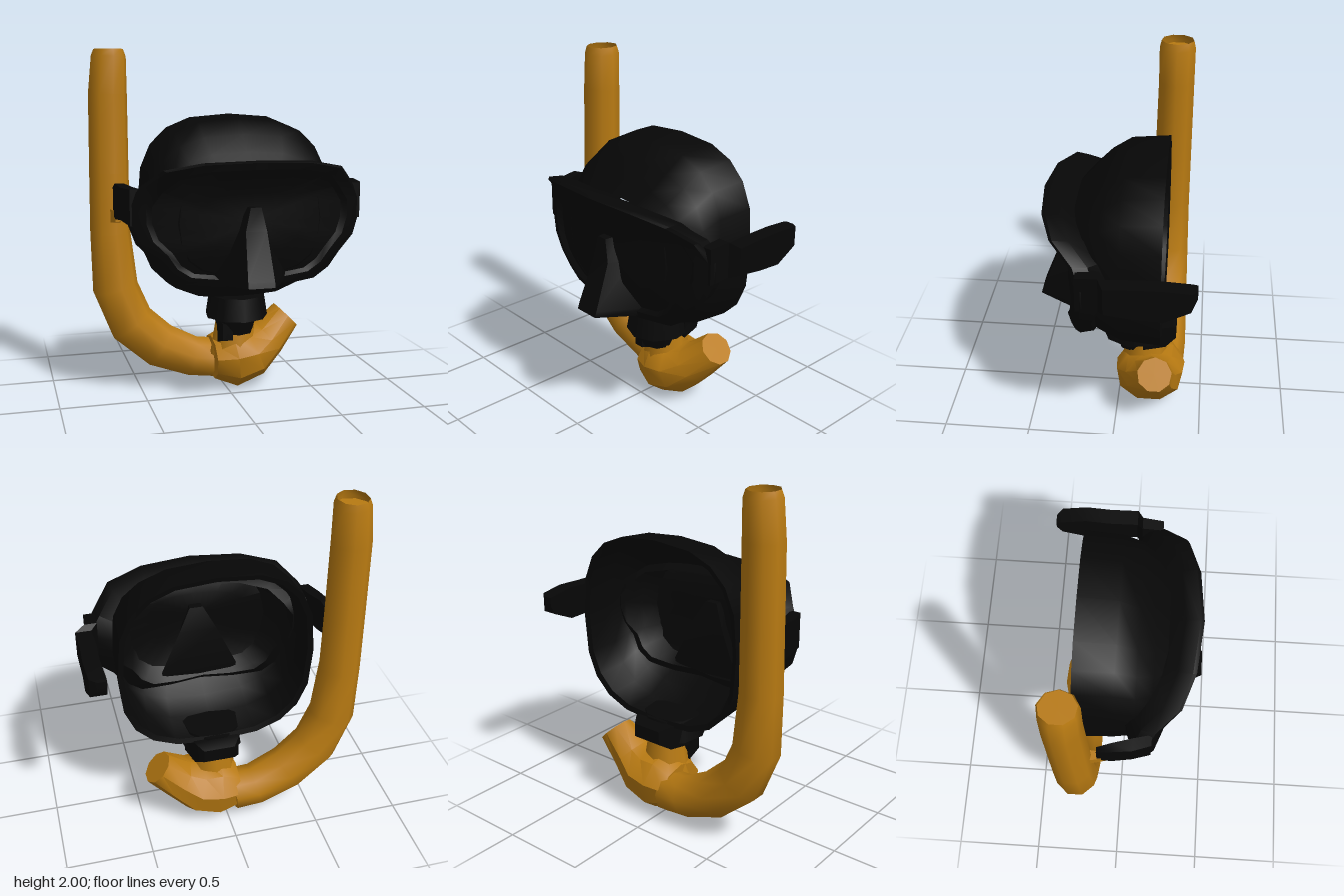
import * as THREE from 'three';
import { toCreasedNormals } from 'three/addons/utils/BufferGeometryUtils.js';

const V = (x, y, z) => new THREE.Vector3(x, y, z);
const rubber = new THREE.MeshStandardMaterial({ color: 0x070707, side: THREE.DoubleSide });
rubber.name = 'black rubber';
const amber = new THREE.MeshStandardMaterial({ color: 0xb87a12, side: THREE.DoubleSide });
amber.name = 'amber plastic';

// Skin a list of closed rings (counter-clockwise about the direction of travel)
function loft(rings, capStart, capEnd, crease = 0.7) {
  const n = rings[0].length, pos = [], index = [];
  rings.forEach(r => r.forEach(p => pos.push(p.x, p.y, p.z)));
  for (let i = 0; i < rings.length - 1; i++) {
    for (let j = 0; j < n; j++) {
      const a = i * n + j, b = i * n + (j + 1) % n;
      index.push(a, b, b + n, a, b + n, a + n);
    }
  }
  const cap = (i, flip) => {
    const c = rings[i].reduce((s, p) => s.add(p), V(0, 0, 0)).divideScalar(n);
    const k = pos.length / 3;
    pos.push(c.x, c.y, c.z);
    for (let j = 0; j < n; j++) {
      const a = i * n + j, b = i * n + (j + 1) % n;
      index.push(k, flip ? b : a, flip ? a : b);
    }
  };
  if (capStart) cap(0, true);
  if (capEnd) cap(rings.length - 1, false);
  const g = new THREE.BufferGeometry();
  g.setAttribute('position', new THREE.Float32BufferAttribute(pos, 3));
  g.setIndex(index);
  return toCreasedNormals(g, crease);
}

// Sweep an oval along points [x, y, z, radius across, radius in z]
function sweep(points, sides = 9) {
  return points.map((p, i) => {
    const a = points[Math.max(i - 1, 0)], b = points[Math.min(i + 1, points.length - 1)];
    const t = V(b[0] - a[0], b[1] - a[1], 0).normalize();
    return Array.from({ length: sides }, (_, j) => {
      const u = j / sides * Math.PI * 2, c = Math.cos(u) * p[3];
      return V(p[0] - t.y * c, p[1] + t.x * c, p[2] + Math.sin(u) * p[4]);
    });
  });
}

// Rectangular bar through sections [x, y, z, half width, half height], z increasing
const bar = sections => loft(sections.map(([x, y, z, w, h]) =>
  [V(x + w, y + h, z), V(x - w, y + h, z), V(x - w, y - h, z), V(x + w, y - h, z)]), true, true);

const CX = 0.05, CY = 1.07; // mask centre

// Rounded outline of the face skirt
function skirtRing(z, hx, top, bottom) {
  const n = 20, cy = (top + bottom) / 2, hy = (top - bottom) / 2;
  return Array.from({ length: n }, (_, i) => {
    const a = i / n * Math.PI * 2, c = Math.cos(a), s = Math.sin(a), e = 0.72;
    return V(CX + hx * Math.sign(c) * Math.abs(c) ** e, cy + hy * Math.sign(s) * Math.abs(s) ** e, z);
  });
}

// Goggle outline, mirrored about the centre line
const half = [[0, 1.41], [0.3, 1.4], [0.5, 1.36], [0.6, 1.27], [0.67, 1.17], [0.67, 1.06],
  [0.63, 0.95], [0.54, 0.86], [0.48, 0.77], [0.39, 0.71], [0.2, 0.69], [0, 0.7]];
const outline = [...half.map(([x, y]) => [-x, y]),
  ...half.slice(1, -1).reverse()];
const clamp = THREE.MathUtils.clamp;
// Wrap-around front surface, with a brim at the top and a tucked-in chin
const frontZ = (x, y) => 0.315 - 0.15 * (x / 0.66) ** 2
  + 0.1 * clamp((y - 1.25) / 0.12, 0, 1) - 0.07 * clamp((0.9 - y) / 0.2, 0, 1);
const frameRing = (scale, dz) => outline.map(([x, y]) => {
  const px = x * scale, py = CY + (y - CY) * scale;
  return V(CX + px, py, frontZ(px, py) + dz);
});

export function createModel() {
  const model = new THREE.Group();
  const add = (name, geometry, material, parent = model) => {
    const m = new THREE.Mesh(geometry, material);
    m.name = name;
    parent.add(m);
    return m;
  };

  // Mask
  const mask = new THREE.Group();
  mask.name = 'mask';
  model.add(mask);
  add('faceSkirt', loft([
    skirtRing(-0.25, 0.52, 1.6, 0.58),
    skirtRing(-0.26, 0.55, 1.63, 0.55),
    skirtRing(-0.04, 0.54, 1.61, 0.57),
    skirtRing(0.07, 0.53, 1.53, 0.64),
    skirtRing(0.16, 0.48, 1.44, 0.7),
    skirtRing(0.23, 0.4, 1.37, 0.76)]), rubber, mask);
  // The rear flange of the frame reaches inside the skirt and closes the seam
  add('lensFrame', loft([frameRing(0.78, -0.2), frameRing(0.97, -0.1), frameRing(1, -0.02),
    frameRing(0.97, 0), frameRing(0.86, 0)]), rubber, mask);
  add('lens', loft([frameRing(0.86, 0), frameRing(0.81, -0.03), frameRing(0.45, -0.03),
    frameRing(0.1, -0.03)], false, true), rubber, mask);

  // Nose pocket: [y, half width at back, front z, half width at front, back z]
  add('nosePocket', loft([[0.71, 0.22, 0.45, 0.075, 0.18], [0.76, 0.23, 0.44, 0.075, 0.18],
    [1.02, 0.11, 0.34, 0.06, 0.2], [1.15, 0.04, 0.33, 0.03, 0.24]].map(([y, w, zf, wf, zb], i) => {
    const yf = i ? y : 0.73;
    return [V(CX - w, y, zb), V(CX - wf, yf, zf), V(CX + wf, yf, zf), V(CX + w, y, zb)];
  }), true, true), rubber, mask);

  // Strap ends
  add('leftStrap', bar([[0.705, 1.2, -0.45, 0.025, 0.025], [0.725, 1.175, -0.42, 0.045, 0.055],
    [0.735, 1.15, -0.28, 0.045, 0.095], [0.73, 1.15, -0.14, 0.045, 0.09],
    [0.735, 1.16, 0.02, 0.045, 0.075], [0.69, 1.16, 0.05, 0.035, 0.1],
    [0.685, 1.15, 0.17, 0.03, 0.1]]), rubber, mask);
  add('rightStrap', bar([[-0.645, 1.15, -0.12, 0.015, 0.08], [-0.635, 1.16, -0.04, 0.025, 0.1],
    [-0.61, 1.16, 0.07, 0.035, 0.09], [-0.58, 1.15, 0.17, 0.03, 0.1]]), rubber, mask);

  // Purge valve and clip under the chin
  const valve = add('chinValve', new THREE.CylinderGeometry(0.165, 0.185, 0.13, 9), rubber, mask);
  valve.scale.z = 1.1;
  valve.position.set(0.055, 0.515, -0.1);
  add('valveTab', bar([[0.06, 0.51, -0.34, 0.09, 0.04], [0.06, 0.5, -0.28, 0.13, 0.07],
    [0.06, 0.49, -0.15, 0.16, 0.07]]), rubber, mask);
  add('valveNeck', new THREE.CylinderGeometry(0.14, 0.1, 0.12, 8), rubber, mask)
    .position.set(0.05, 0.41, -0.09);
  add('valveClip', bar([[-0.02, 0.36, -0.1, 0.04, 0.07], [-0.02, 0.37, 0, 0.03, 0.05]]), rubber, mask);

  // Snorkel
  const snorkel = new THREE.Group();
  snorkel.name = 'snorkel';
  model.add(snorkel);
  add('breathingTube', loft(sweep([
    [-0.65, 2, -0.27, 0.085, 0.095], [-0.65, 1.96, -0.27, 0.1, 0.105],
    [-0.66, 1.75, -0.27, 0.112, 0.105], [-0.662, 1.3, -0.265, 0.115, 0.11],
    [-0.662, 0.95, -0.26, 0.118, 0.115], [-0.64, 0.62, -0.255, 0.135, 0.125],
    [-0.55, 0.4, -0.255, 0.14, 0.13], [-0.38, 0.25, -0.26, 0.135, 0.13],
    [-0.18, 0.165, -0.265, 0.12, 0.13], [-0.04, 0.15, -0.26, 0.12, 0.13]]), false, true, 1), amber, snorkel);
  const opening = add('tubeOpening', new THREE.CircleGeometry(0.1, 9), amber, snorkel);
  opening.rotation.x = -Math.PI / 2;
  opening.position.set(-0.65, 1.95, -0.27);
  add('mouthpiece', loft(sweep([
    [-0.07, 0.17, -0.2, 0.13, 0.17], [0.05, 0.175, -0.19, 0.19, 0.21],
    [0.18, 0.2, -0.19, 0.16, 0.2], [0.28, 0.27, -0.2, 0.12, 0.15],
    [0.405, 0.395, -0.23, 0.1, 0.1]]), true, true), amber, snorkel);
  add('mouthpieceRiser', new THREE.CylinderGeometry(0.11, 0.15, 0.24, 8), amber, snorkel)
    .position.set(0.06, 0.32, -0.16);
  add('snorkelKeeper', bar([[-0.645, 1.06, -0.17, 0.03, 0.04], [-0.64, 1.07, -0.07, 0.015, 0.03]]), amber, snorkel);
  return model;
}
